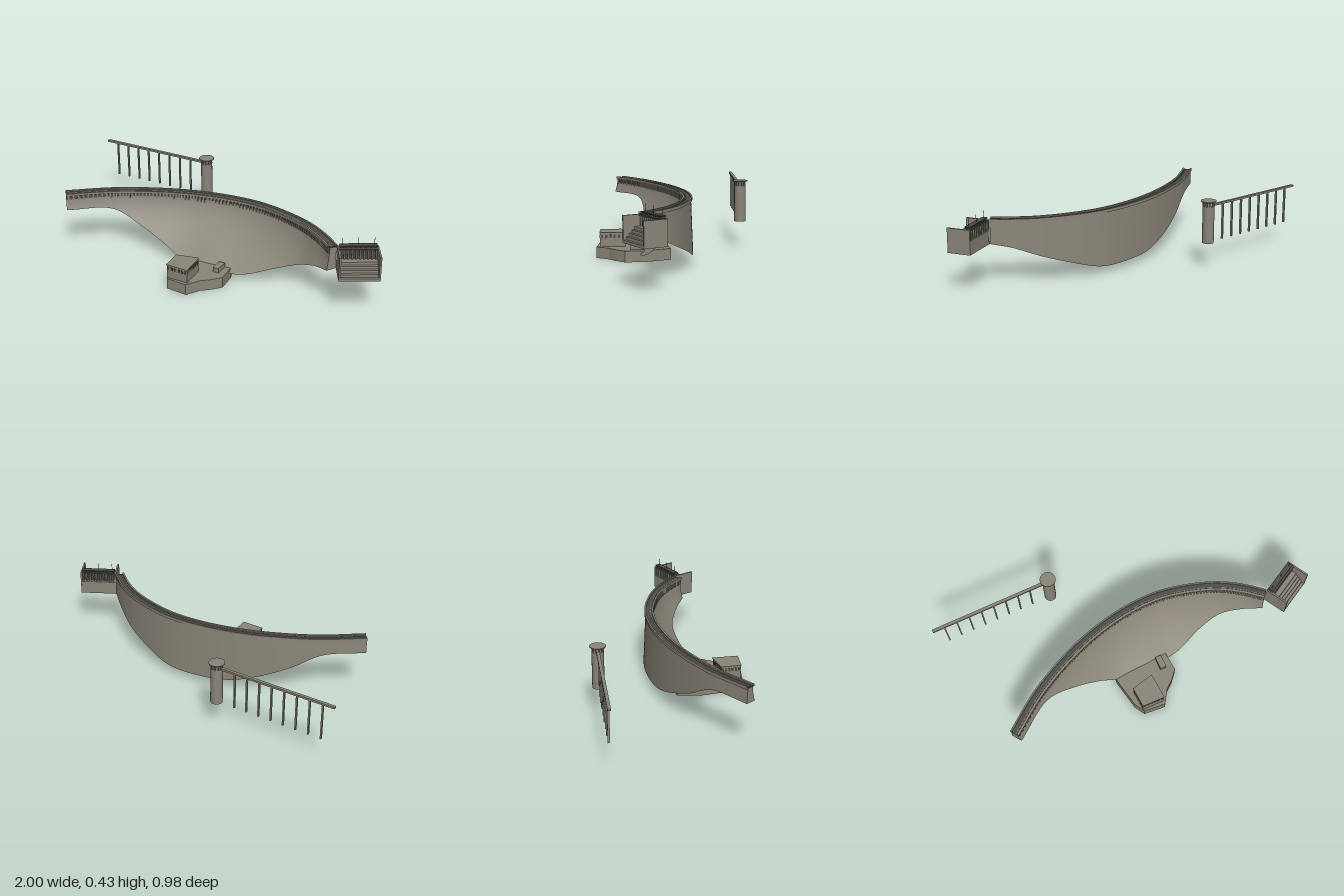
import * as THREE from 'three';
import { toCreasedNormals } from 'three/addons/utils/BufferGeometryUtils.js';

const mat = (name, color) => {
  const m = new THREE.MeshStandardMaterial({ color, side: THREE.DoubleSide });
  m.name = name;
  return m;
};

export function createModel() {
  const root = new THREE.Group();
  root.name = 'archDam';
  const concrete = mat('concrete', 0x8a8578);
  const dark = mat('darkGrey', 0x4c4b47);

  const add = (parent, name, geo, material, x = 0, y = 0, z = 0, ry = 0) => {
    const m = new THREE.Mesh(geo, material);
    m.name = name;
    m.position.set(x, y, z);
    m.rotation.y = ry;
    parent.add(m);
    return m;
  };
  const box = (w, h, d) => new THREE.BoxGeometry(w, h, d);

  // Grid surface through fn(a, b) -> [x, y, z]
  const loft = (na, nb, fn) => {
    const pos = [], idx = [];
    for (let i = 0; i <= na; i++)
      for (let j = 0; j <= nb; j++) pos.push(...fn(i / na, j / nb));
    for (let i = 0; i < na; i++)
      for (let j = 0; j < nb; j++) {
        const p = i * (nb + 1) + j, q = p + nb + 1;
        idx.push(p, q, p + 1, q, q + 1, p + 1);
      }
    const g = new THREE.BufferGeometry();
    g.setAttribute('position', new THREE.Float32BufferAttribute(pos, 3));
    g.setIndex(idx);
    g.computeVertexNormals();
    return g;
  };

  // Rails: upstream line in plan, and downstream foot
  const rail = (pts) => new THREE.CatmullRomCurve3(pts.map((p) => new THREE.Vector3(...p)));
  const back = rail([[-0.915, 0, 0.24], [-0.7, 0, 0.115], [-0.54, 0, 0.048], [-0.36, 0, -0.008],
    [-0.2, 0, -0.04], [0, 0, -0.055], [0.2, 0, -0.037], [0.38, 0, 0.02], [0.54, 0, 0.1],
    [0.66, 0, 0.195], [0.745, 0, 0.285]]);
  const foot = rail([[-0.88, 0.28, 0.3], [-0.645, 0.272, 0.172], [-0.47, 0.185, 0.16], [-0.31, 0.108, 0.185],
    [-0.2, 0.06, 0.22], [0, 0.045, 0.25], [0.18, 0.05, 0.25], [0.35, 0.103, 0.215], [0.49, 0.16, 0.215],
    [0.61, 0.213, 0.275], [0.7, 0.235, 0.335]]);
  const crest = (u, off, y) => {
    const p = back.getPoint(u), t = back.getTangent(u);
    return [p.x - t.z * off, y, p.z + t.x * off];
  };
  const TOP = 0.368, N = 80, lerp = THREE.MathUtils.lerp;
  const frontPoint = (u, t) => {
    const c = crest(u, 0.05, TOP), f = foot.getPoint(u), k = Math.pow(t, 1.65);
    return [lerp(c[0], f.x, k), lerp(TOP, f.y, t), lerp(c[2], f.z, k)];
  };
  const backPoint = (u, t) => {
    const y = lerp(TOP, foot.getPoint(u).y, t);
    return crest(u, 0.013 * (y - 0.045) / 0.33, y);
  };

  // Dam shell, open underneath
  const dam = new THREE.Group();
  dam.name = 'dam';
  root.add(dam);
  add(dam, 'downstreamFace', loft(N, 14, (u, v) => frontPoint(u, 1 - v)), concrete);
  add(dam, 'upstreamFace', loft(N, 4, (u, v) => backPoint(u, v)), concrete);
  for (const u of [0, 1])
    add(dam, 'endFace', loft(1, 8, (a, b) => {
      const t = u ? b : 1 - b, f = frontPoint(u, t), k = backPoint(u, t);
      return f.map((c, i) => lerp(c, k[i], a));
    }), concrete);

  // Crest: road, parapets and kerb swept along the arc
  const band = (name, o0, o1, y0, y1, material) => {
    const ring = [[o1, y0], [o1, y1], [o0, y1], [o0, y0], [o1, y0]];
    const g = loft(N, 4, (u, v) => crest(u, ...ring[Math.round(v * 4)]));
    add(dam, name, toCreasedNormals(g, 0.6), material);
  };
  band('road', 0.01, 0.052, 0.364, 0.371, dark);
  band('upstreamParapet', 0.006, 0.015, 0.36, 0.378, concrete);
  band('downstreamParapet', 0.05, 0.061, 0.364, 0.378, concrete);
  band('kerb', 0.04, 0.044, 0.368, 0.374, concrete);
  band('arcadeShadowGap', 0.047, 0.053, 0.338, 0.364, dark);
  for (let i = 0; i < 90; i++) {
    const u = (i + 0.5) / 90, t = back.getTangent(u);
    add(dam, 'crestBracket', box(0.009, 0.032, 0.014), concrete,
      ...crest(u, 0.053, 0.35), -Math.atan2(t.z, t.x));
  }

  // Powerhouse platform, hollow below
  const house = new THREE.Group();
  house.name = 'powerhouse';
  root.add(house);
  const loop = (pts) => pts.map(([x, z]) => new THREE.Vector2(x, z));
  const walls = (pts, y0, y1) => {
    const g = loft(pts.length, 1, (a, b) => {
      const p = pts[Math.round(a * pts.length) % pts.length];
      return [p[0], lerp(y1, y0, b), p[1]];
    });
    return toCreasedNormals(g, 0.3);
  };
  const lid = (pts, y, hole) => {
    const s = new THREE.Shape(loop(pts));
    if (hole) s.holes.push(new THREE.Path(loop(hole)));
    const g = new THREE.ShapeGeometry(s).rotateX(Math.PI / 2).translate(0, y, 0);
    const ix = g.index.array;
    for (let i = 0; i < ix.length; i += 3) [ix[i], ix[i + 1]] = [ix[i + 1], ix[i]];
    g.computeVertexNormals();
    return g;
  };
  const base = [[-0.22, 0.22], [-0.19, 0.07], [0.06, 0.07], [0.11, 0.22], [0.105, 0.34], [0.055, 0.385],
    [0, 0.42], [-0.055, 0.488], [-0.18, 0.462], [-0.207, 0.4]];
  const hall = [[-0.175, 0.335], [-0.047, 0.322], [-0.055, 0.468], [-0.183, 0.45]];
  add(house, 'platformWalls', walls(base, 0, 0.065), concrete);
  add(house, 'platformTop', lid(base, 0.065, hall), concrete);
  add(house, 'hallWalls', walls(hall, 0.065, 0.145), concrete);
  const eave = hall.map(([x, z]) => [-0.115 + (x + 0.115) * 1.05, 0.394 + (z - 0.394) * 1.05]);
  add(house, 'hallRoofEdge', walls(eave, 0.143, 0.148), concrete);
  add(house, 'hallRoof', lid(eave, 0.148), concrete);
  add(house, 'hallEaveUnderside', lid(eave, 0.143), concrete);
  hall.forEach(([x0, z0], s) => {
    const [x1, z1] = hall[(s + 1) % 4];
    for (let i = 0; i < 6; i++) {
      const k = (i + 0.5) / 6;
      add(house, 'hallWindow', box(0.012, 0.02, 0.004), dark,
        lerp(x0, x1, k), 0.125, lerp(z0, z1, k), -Math.atan2(z1 - z0, x1 - x0));
    }
  });
  add(house, 'smallBlock', box(0.036, 0.03, 0.075), concrete, 0.053, 0.078, 0.265, -0.12);

  // Stepped spillway at the left abutment
  const spill = new THREE.Group();
  spill.name = 'spillway';
  spill.position.set(0.868, 0, 0.315);
  spill.rotation.y = 0.39;
  root.add(spill);
  const L = 0.222, D = 0.0675;
  const profile = [[-D, 0.235], [D, 0.235]];
  for (let i = 0; i < 5; i++) {
    const y = 0.25 + i * 0.016, z = D - i * 0.016;
    profile.push([z, y], [z - 0.016, y]);
  }
  profile.push([-D, 0.314]);
  const steps = new THREE.ExtrudeGeometry(new THREE.Shape(loop(profile)), { depth: L, bevelEnabled: false });
  add(spill, 'steps', steps.rotateY(-Math.PI / 2).translate(L / 2, 0, 0), concrete);
  for (const s of [-1, 1])
    add(spill, 'sideWall', box(0.01, 0.14, 2 * D + 0.002), concrete, s * (L / 2 - 0.005), 0.305, 0);
  for (let i = 0; i < 10; i++)
    add(spill, 'gatePier', box(0.008, 0.062, 0.04), concrete, -0.094 + i * 0.0209, 0.344, -0.045);
  add(spill, 'gates', box(0.2, 0.05, 0.006), dark, 0, 0.337, -0.04);
  add(spill, 'gateBeam', box(0.21, 0.008, 0.045), dark, 0, 0.372, -0.045);
  add(spill, 'gallery', box(0.2, 0.006, 0.032), dark, 0, 0.387, -0.05);
  for (let i = 0; i < 8; i++)
    add(spill, 'galleryPost', box(0.005, 0.012, 0.022), dark, -0.09 + i * 0.0257, 0.38, -0.05);
  for (const x of [-0.085, 0, 0.085])
    add(spill, 'mast', new THREE.CylinderGeometry(0.0015, 0.0015, 0.045, 6), dark, x, 0.409, -0.05);

  // Intake tower
  const tower = new THREE.Group();
  tower.name = 'intakeTower';
  tower.position.set(-0.295, 0, -0.405);
  root.add(tower);
  const cyl = (r, h) => new THREE.CylinderGeometry(r, r, h, 28);
  add(tower, 'towerShaft', cyl(0.034, 0.217), concrete, 0, 0.2685, 0);
  add(tower, 'towerLantern', cyl(0.03, 0.03), dark, 0, 0.391, 0);
  add(tower, 'towerCap', cyl(0.045, 0.005), concrete, 0, 0.4065, 0);
  for (let i = 0; i < 14; i++) {
    const a = i / 14 * Math.PI * 2;
    add(tower, 'lanternPost', box(0.007, 0.03, 0.006), concrete,
      Math.sin(a) * 0.031, 0.391, Math.cos(a) * 0.031, a);
  }

  // Access bridge on slender columns
  const bridge = new THREE.Group();
  bridge.name = 'accessBridge';
  root.add(bridge);
  const A = [-0.32, -0.408], B = [-0.999, -0.483];
  const ang = -Math.atan2(A[1] - B[1], A[0] - B[0]);
  add(bridge, 'bridgeDeck', box(Math.hypot(A[0] - B[0], A[1] - B[1]), 0.011, 0.018), concrete,
    (A[0] + B[0]) / 2, 0.378, (A[1] + B[1]) / 2, ang);
  for (let i = 0; i < 8; i++) {
    const x = -0.93 + i * 0.0745, k = (x - A[0]) / (B[0] - A[0]);
    add(bridge, 'bridgeColumn', box(0.008, 0.214, 0.012), concrete, x, 0.267, lerp(A[1], B[1], k), ang);
  }
  return root;
}
